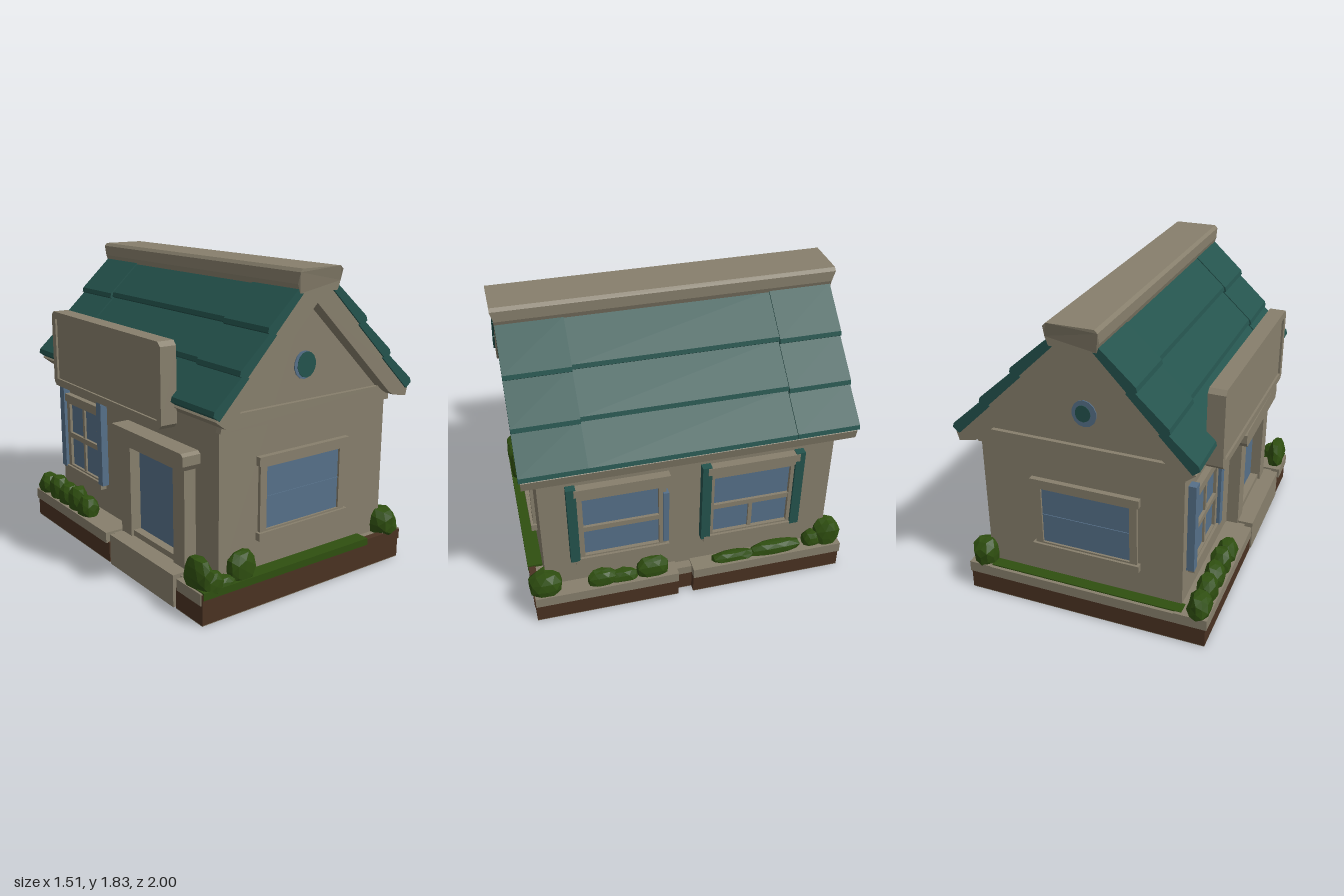
import * as THREE from 'three';

const mat = (name, color) => {
  const m = new THREE.MeshStandardMaterial({ color });
  m.name = name;
  return m;
};

export function createModel() {
  const stone = mat('stone', 0x877f6c), teal = mat('teal', 0x24534d), glass = mat('glass', 0x567089);
  const leaf = mat('leaf', 0x2f4f10), soil = mat('soil', 0x4a3222);
  const house = new THREE.Group();
  house.name = 'house';

  const add = (name, geo, material, parent = house) => {
    const mesh = new THREE.Mesh(geo, material);
    mesh.name = name;
    parent.add(mesh);
    return mesh;
  };
  // box given by its limits
  const box = (name, m, x0, x1, y0, y1, z0, z1, parent) => {
    const mesh = add(name, new THREE.BoxGeometry(x1 - x0, y1 - y0, z1 - z0), m, parent);
    mesh.position.set((x0 + x1) / 2, (y0 + y1) / 2, (z0 + z1) / 2);
    return mesh;
  };
  const shapeOf = pts => new THREE.Shape(pts.map(p => new THREE.Vector2(...p)));
  const rect = (x0, x1, y0, y1) => [[x0, y0], [x1, y0], [x1, y1], [x0, y1]];
  // xy outline extruded from z0 to z1, with an optional hole
  const prism = (name, m, pts, z0, z1, parent, hole) => {
    const shape = shapeOf(pts);
    if (hole) shape.holes.push(shapeOf(hole));
    const geo = new THREE.ExtrudeGeometry(shape, { depth: z1 - z0, bevelEnabled: false });
    return add(name, geo.translate(0, 0, z0), m, parent);
  };
  // local frame on a wall: local z points outwards
  const onWall = (name, x, z, turn) => {
    const g = new THREE.Group();
    g.name = name;
    g.position.set(x, 0, z);
    g.rotation.y = turn;
    house.add(g);
    return g;
  };

  // Base: soil block with a notch on the left-hand kerb line and a gap for the step
  const plan = [[-0.745, -0.965], [-0.745, 0], [-0.69, 0], [-0.69, -0.72], [-0.745, -0.72], [-0.745, 0.97],
    [0.735, 0.97], [0.735, 0.01], [0.69, 0.01], [0.69, -0.085], [0.735, -0.085], [0.735, -0.965]];
  const outline = [plan[0], [-0.745, -0.72], [-0.69, -0.72], [-0.69, 0], [-0.745, 0], ...plan.slice(5)];
  const base = prism('soilBase', soil, outline, 0.004, 0.125);
  base.rotation.x = -Math.PI / 2;
  const under = prism('baseUnderside', stone, outline, 0, 0.004);
  under.rotation.x = -Math.PI / 2;
  box('frontSoilBoard', soil, -0.75, 0.738, 0.12, 0.182, 0.93, 0.972);
  box('terrace', stone, -0.7, 0.69, 0.12, 0.175, -0.95, 0.94);
  box('rightKerbFront', stone, 0.6, 0.742, 0.12, 0.187, 0.085, 0.965);
  box('rightKerbBack', stone, 0.6, 0.742, 0.12, 0.187, -0.975, -0.01);
  box('leftKerbBack', stone, -0.755, -0.56, 0.12, 0.187, -0.975, -0.02);
  box('leftKerbFront', stone, -0.755, -0.56, 0.12, 0.187, 0.74, 0.965);
  box('backKerb', stone, -0.74, 0.73, 0.12, 0.183, -0.975, -0.88);
  box('doorStep', stone, -0.75, -0.57, 0, 0.19, 0.02, 0.7);
  box('frontGrass', leaf, -0.742, 0.46, 0.15, 0.192, 0.88, 0.976);
  box('backGrass', leaf, -0.6, 0.6, 0.18, 0.19, -0.955, -0.88);

  // Walls with gable ends
  prism('walls', stone, [[-0.58, 0.15], [0.635, 0.15], [0.635, 1.05], [0, 1.665], [-0.58, 1.08]], -0.885, 0.885);
  for (const s of [-1, 1]) {
    prism('gableBeam', stone, [[-0.59, 1.01], [0.645, 1.01], [0.635, 1.1], [-0.57, 1.1]],
      s > 0 ? 0.87 : -0.91, s > 0 ? 0.91 : -0.87);
  }

  // Roof shell
  prism('roofShell', stone, [[-0.1, 1.73], [-0.665, 1.1], [-0.6, 1.05], [-0.55, 1.085], [0, 1.64],
    [0.58, 1.075], [0.62, 1.05], [0.725, 1.03], [0.74, 1.09], [0.1, 1.73]], -0.97, 0.97);

  // Overlapping tile rows, each in three lengths
  const tileRows = (x0, y0, x1, y1) => {
    const s = Math.sign(x1), len = Math.hypot(x1 - x0, y1 - y0);
    const d = [(x1 - x0) / len, (y1 - y0) / len], n = [-d[1] * s, d[0] * s];
    const at = (t, h) => [x0 + d[0] * t + n[0] * h, y0 + d[1] * t + n[1] * h];
    for (let row = 0; row < 3; row++) {
      const a = len * row / 3, b = len * (row + 1) / 3;
      [[-0.975, -0.6, 0.008], [-0.6, 0.6, 0], [0.6, 0.98, 0.006]].forEach(([z0, z1, lift]) => {
        const e = b + (row < 2 ? lift * 2 + 0.01 : 0);
        const pts = [at(a, -0.02), at(e, -0.01), at(e + 0.004, 0.032 + lift), at(e - 0.02, 0.044 + lift), at(a, 0.016 + lift)];
        prism('roofTile', teal, s > 0 ? pts : pts.reverse(), z0, z1);
      });
    }
  };
  tileRows(0.12, 1.715, 0.725, 1.085);
  tileRows(-0.12, 1.715, -0.655, 1.11);

  // Ridge cap, flared towards its ends
  const cap = prism('ridgeCap', stone, [[-0.135, 1.7], [0.13, 1.7], [0.148, 1.75], [0.148, 1.812],
    [0.13, 1.83], [-0.135, 1.83], [-0.152, 1.812], [-0.152, 1.75]], -1, 1);
  const cp = cap.geometry.attributes.position;
  for (let i = 0; i < cp.count; i++) if (cp.getY(i) < 1.78) cp.setZ(i, cp.getZ(i) * 0.982);
  cap.geometry.computeVertexNormals();

  // Round gable windows
  for (const [z, turn, dx, tr] of [[0.886, 0, -0.008, 0.066], [-0.886, Math.PI, 0.012, 0.045]]) {
    const g = onWall('gableWindow', 0, z, turn);
    for (const [r, h, x, m] of [[0.072, 0.006, dx, glass], [tr, 0.009, 0.006, teal]]) {
      const disc = add('gableWindowDisc', new THREE.CylinderGeometry(r, r, h, 14), m, g);
      disc.rotation.x = Math.PI / 2;
      disc.scale.z = 1.1;
      disc.position.set(x, 1.295, h / 2);
    }
  }

  // Framed window: glass limits, frame margin, cross bar height
  const windowOn = (g, w, y0, y1, margin, barY, depth) => {
    const h = w / 2, o = h + margin;
    prism('windowFrame', stone, rect(-o, o, y0 - 0.05, y1 + 0.05), 0, depth, g, rect(-h, h, y0, y1));
    box('windowHead', stone, -o - 0.015, o + 0.015, y1 + 0.015, y1 + 0.065, 0, depth + 0.012, g);
    box('windowSill', stone, -o - 0.015, o + 0.015, y0 - 0.055, y0 - 0.01, 0, depth + 0.015, g);
    box('windowGlass', glass, -h, h, y0, y1, 0, 0.007, g);
    if (barY) box('crossBar', stone, -h, h, barY - 0.017, barY + 0.017, 0, 0.025, g);
  };
  for (const s of [1, -1]) {
    const g = onWall(s > 0 ? 'frontWindow' : 'backWindow', 0, s * 0.885, s > 0 ? 0 : Math.PI);
    windowOn(g, 0.54, 0.41, 0.77, 0.045, 0, 0.02);
    box('paneLine', glass, -0.27, 0.27, 0.59, 0.597, 0, 0.012, g);
  }

  // Right-hand side windows with shutters
  const shutter = (g, x, m, y0 = 0.38, y1 = 0.935) => box('shutter', m, x - 0.028, x + 0.028, y0, y1, 0, 0.045, g);
  const w1 = onWall('sideWindowFront', 0.635, 0.415, Math.PI / 2);
  windowOn(w1, 0.45, 0.405, 0.835, 0.045, 0.607, 0.03);
  box('upperHead', stone, -0.27, 0.29, 0.88, 0.93, 0, 0.05, w1);
  shutter(w1, -0.285, teal);
  shutter(w1, 0.265, glass, 0.42, 0.8).scale.x = 0.6;
  const w2 = onWall('sideWindowBack', 0.635, -0.38, Math.PI / 2);
  windowOn(w2, 0.47, 0.405, 0.835, 0.045, 0.607, 0.03);
  box('upperHead', stone, -0.28, 0.28, 0.88, 0.93, 0, 0.05, w2);
  box('lowerBar', stone, -0.012, 0.012, 0.405, 0.6, 0, 0.02, w2);
  shutter(w2, -0.285, teal);
  shutter(w2, 0.285, teal);

  // Left-hand side window
  const w3 = onWall('shopWindow', -0.58, -0.55, -Math.PI / 2);
  windowOn(w3, 0.36, 0.4, 0.82, 0.045, 0.607, 0.025);
  box('middleBar', stone, -0.012, 0.012, 0.4, 0.82, 0, 0.02, w3);
  shutter(w3, -0.245, glass);
  shutter(w3, 0.245, glass);

  // Doorway with posts and cornice
  const door = onWall('doorway', -0.58, 0.34, -Math.PI / 2);
  for (const s of [-1, 1]) box('doorPost', stone, s * 0.28 - 0.055, s * 0.28 + 0.055, 0.18, 0.8, 0, 0.075, door);
  box('doorGlass', glass, -0.23, 0.23, 0.19, 0.8, 0, 0.009, door);
  box('doorThreshold', stone, -0.23, 0.23, 0.18, 0.225, 0, 0.06, door);
  prism('doorCornice', stone, [[-0.36, 0.77], [0.36, 0.77], [0.38, 0.8], [0.38, 0.855], [0.36, 0.87],
    [-0.36, 0.87], [-0.38, 0.855], [-0.38, 0.8]], 0, 0.115, door);

  // Blank signboard with a raised border
  const sign = onWall('signboard', -0.68, -0.045, -Math.PI / 2 - 0.015);
  const c = 0.025, sw = 0.64;
  prism('signBorder', stone, [[-sw + c, 0.98], [sw - c, 0.98], [sw, 0.98 + c], [sw, 1.455 - c], [sw - c, 1.455],
    [-sw + c, 1.455], [-sw, 1.455 - c], [-sw, 0.98 + c]], -0.045, 0.055, sign, rect(-sw + 0.045, sw - 0.045, 1.025, 1.41));
  box('signPanel', stone, -sw + 0.04, sw - 0.04, 1.02, 1.415, -0.04, 0.042, sign);

  // Faceted bushes: centre x, z, half sizes x, z, top height
  const bush = ([x, z, rx, rz, top], k) => {
    const geo = new THREE.IcosahedronGeometry(1, 1), p = geo.attributes.position, v = new THREE.Vector3();
    for (let i = 0; i < p.count; i++) {
      v.fromBufferAttribute(p, i);
      const wob = 1 + 0.09 * Math.sin(v.x * 7 + k * 2) * Math.cos(v.y * 5 + v.z * 6 + k);
      v.multiplyScalar(wob);
      // boxy, flat-topped outline
      p.setXYZ(i, THREE.MathUtils.clamp(v.x * 1.1, -1, 1), THREE.MathUtils.clamp(v.y * 1.15, -1, 1), THREE.MathUtils.clamp(v.z * 1.1, -1, 1));
    }
    geo.computeVertexNormals();
    const mesh = add('bush', geo, leaf), ry = (top - 0.14) / 2;
    mesh.scale.set(rx, ry, rz);
    mesh.position.set(x, 0.14 + ry, z);
  };
  [[-0.46, 0.925, 0.085, 0.05, 0.34], [-0.6, 0.93, 0.1, 0.045, 0.23], [0.655, 0.89, 0.085, 0.1, 0.315],
    [0.685, 0.55, 0.045, 0.09, 0.275], [0.685, 0.42, 0.04, 0.09, 0.25], [0.685, 0.24, 0.045, 0.1, 0.3],
    [0.685, -0.28, 0.04, 0.14, 0.235], [0.685, -0.55, 0.045, 0.17, 0.255],
    [0.67, -0.8, 0.05, 0.06, 0.27], [0.66, -0.9, 0.075, 0.085, 0.335],
    [-0.7, 0.87, 0.052, 0.105, 0.345], [-0.66, 0.93, 0.07, 0.05, 0.28],
    [-0.69, -0.9, 0.065, 0.08, 0.3], [-0.69, -0.76, 0.06, 0.08, 0.325], [-0.69, -0.62, 0.06, 0.08, 0.31],
    [-0.69, -0.49, 0.06, 0.075, 0.33], [-0.69, -0.36, 0.06, 0.075, 0.3]].forEach(bush);

  return house;
}
